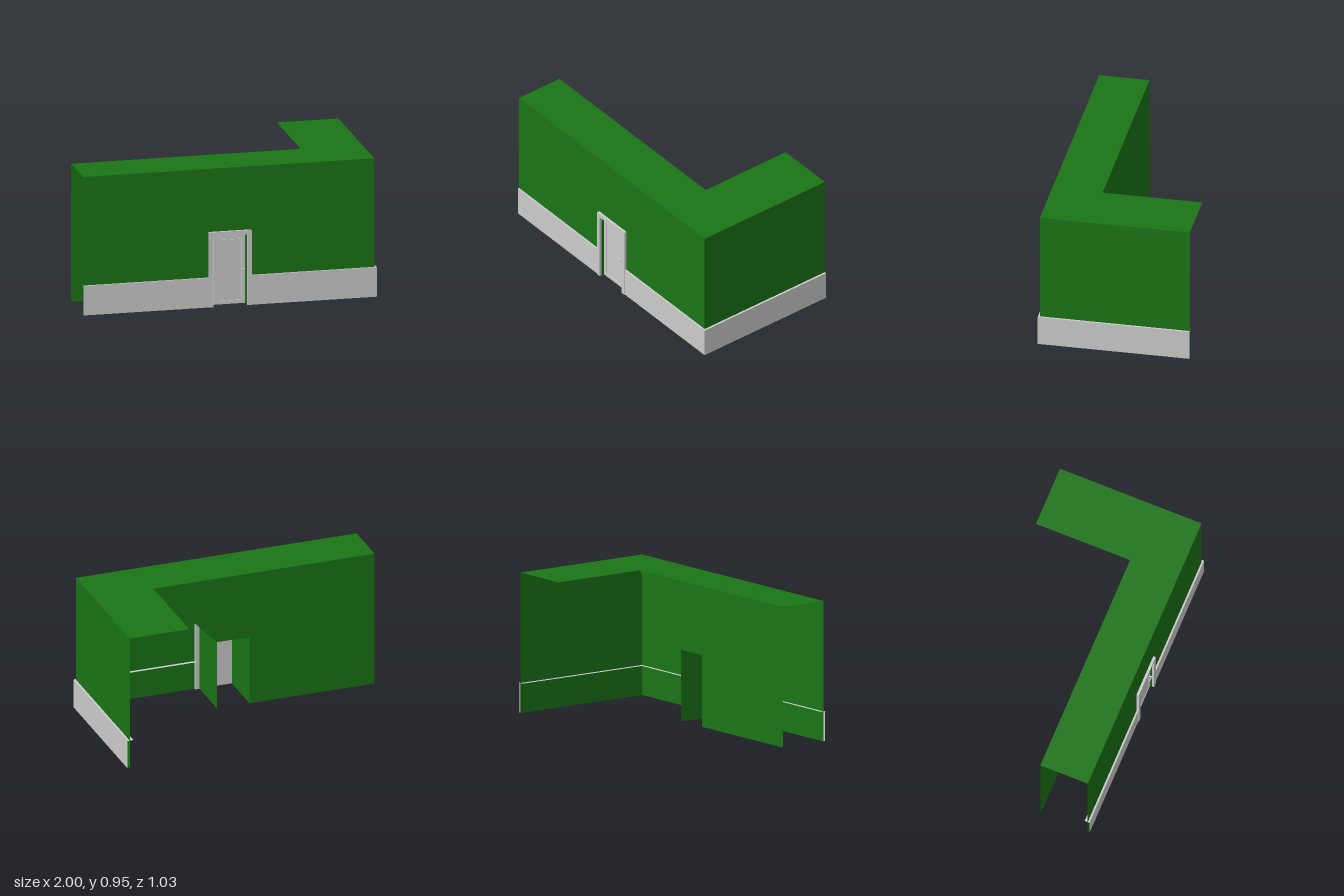
import * as THREE from 'three';

const green = new THREE.MeshStandardMaterial({ color: 0x197416, side: THREE.DoubleSide });
const grey = new THREE.MeshStandardMaterial({ color: 0xcccccc, side: THREE.DoubleSide });

// Main planes of the building
const LEFT = 0.985, RIGHT = -1, FRONT = 0.5, BACK = -0.515, INNER = 0.16, TOP = 0.95;
const DOOR_W = 0.115, DOOR_H = 0.485, TRIM_H = 0.203;

const polygon = (pts) => new THREE.Shape(pts.map(([x, y]) => new THREE.Vector2(x, y)));

function add(group, name, geometry, material, x = 0, y = 0, z = 0) {
  const mesh = new THREE.Mesh(geometry, material);
  mesh.name = name;
  mesh.position.set(x, y, z);
  group.add(mesh);
  return mesh;
}

// Sheet spanned between consecutive rows of points
function sheet(rows) {
  const pos = [];
  for (let i = 0; i + 1 < rows.length; i++) {
    for (let j = 0; j + 1 < rows[i].length; j++) {
      const a = rows[i][j], b = rows[i][j + 1], c = rows[i + 1][j + 1], d = rows[i + 1][j];
      pos.push(...a, ...b, ...c, ...a, ...c, ...d);
    }
  }
  const g = new THREE.BufferGeometry();
  g.setAttribute('position', new THREE.Float32BufferAttribute(pos, 3));
  g.computeVertexNormals();
  return g;
}

function box(group, name, x0, x1, y0, y1, z0, z1) {
  return add(group, name, new THREE.BoxGeometry(x1 - x0, y1 - y0, z1 - z0), grey,
    (x0 + x1) / 2, (y0 + y1) / 2, (z0 + z1) / 2);
}

function walls() {
  const g = new THREE.Group();
  g.name = 'walls';
  // Front wall, notched for the doorway
  add(g, 'frontWall', new THREE.ShapeGeometry(polygon([
    [RIGHT, 0], [-DOOR_W, 0], [-DOOR_W, DOOR_H], [DOOR_W, DOOR_H],
    [DOOR_W, 0], [LEFT, 0], [LEFT, TOP], [RIGHT, TOP]])), green, 0, 0, FRONT);
  // Rear face of the front wing, cut away diagonally beyond the doorway
  add(g, 'innerWall', new THREE.ShapeGeometry(polygon([
    [RIGHT, 0], [RIGHT, TOP], [0.565, TOP], [DOOR_W, DOOR_H],
    [-DOOR_W, DOOR_H], [-DOOR_W, 0]]).clone()), green, 0, 0, INNER).geometry
    .rotateY(0);
  add(g, 'leftWall', sheet([
    [[LEFT, 0, FRONT], [LEFT, 0, BACK]],
    [[LEFT, TOP, FRONT], [LEFT, TOP, BACK]]]), green);
  // L-shaped roof
  const roof = new THREE.ShapeGeometry(polygon([
    [RIGHT, -FRONT], [LEFT, -FRONT], [LEFT, -BACK], [0.565, -BACK],
    [0.565, -INNER], [RIGHT, -INNER]])).rotateX(-Math.PI / 2);
  add(g, 'roof', roof, green, 0, TOP, 0);
  // Passage lining running through the wing behind the door
  const arch = (z) => [[DOOR_W, 0, z], [DOOR_W, DOOR_H, z], [-DOOR_W, DOOR_H, z], [-DOOR_W, 0, z]];
  add(g, 'doorPassage', sheet([arch(INNER), arch(FRONT)]), green);
  return g;
}

function baseTrim() {
  const g = new THREE.Group();
  g.name = 'baseTrim';
  // Profile: outer face, then a ledge passing through the wall
  const profile = [[0.012, 0], [0.012, TRIM_H], [-0.022, TRIM_H]];
  const at = (x, z, nx, nz) => profile.map(([o, y]) => [x + nx * o, y, z + nz * o]);
  add(g, 'rightTrim', sheet([at(RIGHT, FRONT, 0, 1), at(-0.135, FRONT, 0, 1)]), grey);
  add(g, 'leftTrim', sheet([
    at(0.135, FRONT, 0, 1), at(LEFT, FRONT, 1.2, 1), at(LEFT, BACK, 1.2, 0)]), grey);
  return g;
}

function door() {
  const g = new THREE.Group();
  g.name = 'door';
  // Frame with softened upper corners
  const w = 0.146, h = 0.516, r = 0.007, i = 0.117;
  const s = new THREE.Shape();
  s.moveTo(-w, 0);
  s.lineTo(-w, h - r);
  s.quadraticCurveTo(-w, h, -w + r, h);
  s.lineTo(w - r, h);
  s.quadraticCurveTo(w, h, w, h - r);
  s.lineTo(w, 0);
  s.lineTo(i, 0);
  s.lineTo(i, 0.487);
  s.lineTo(-i, 0.487);
  s.lineTo(-i, 0);
  add(g, 'doorFrame', new THREE.ExtrudeGeometry(s,
    { depth: 0.029, bevelEnabled: false, curveSegments: 4 }), grey, 0, 0, 0.488);

  // Leaf: rim with a grooved, slightly recessed panel
  const rim = polygon([[-0.107, 0.01], [0.107, 0.01], [0.107, 0.479], [-0.107, 0.479]]);
  rim.holes.push(polygon([[-0.085, 0.033], [-0.085, 0.46], [0.085, 0.46], [0.085, 0.033]]));
  add(g, 'leafRim', new THREE.ExtrudeGeometry(rim,
    { depth: 0.014, bevelEnabled: false }), grey, 0, 0, 0.476);
  box(g, 'leafBack', -0.107, 0.107, 0.01, 0.479, 0.474, 0.484);
  box(g, 'leafPanel', -0.077, 0.077, 0.041, 0.452, 0.484, 0.488);

  // Lever handle
  const spindle = new THREE.CylinderGeometry(0.005, 0.005, 0.018, 12).rotateX(Math.PI / 2);
  add(g, 'handleSpindle', spindle, grey, 0.094, 0.245, 0.497);
  box(g, 'handleLever', 0.061, 0.099, 0.24, 0.25, 0.503, 0.51);
  return g;
}

export function createModel() {
  const model = new THREE.Group();
  model.name = 'building';
  model.add(walls(), baseTrim(), door());
  return model;
}
